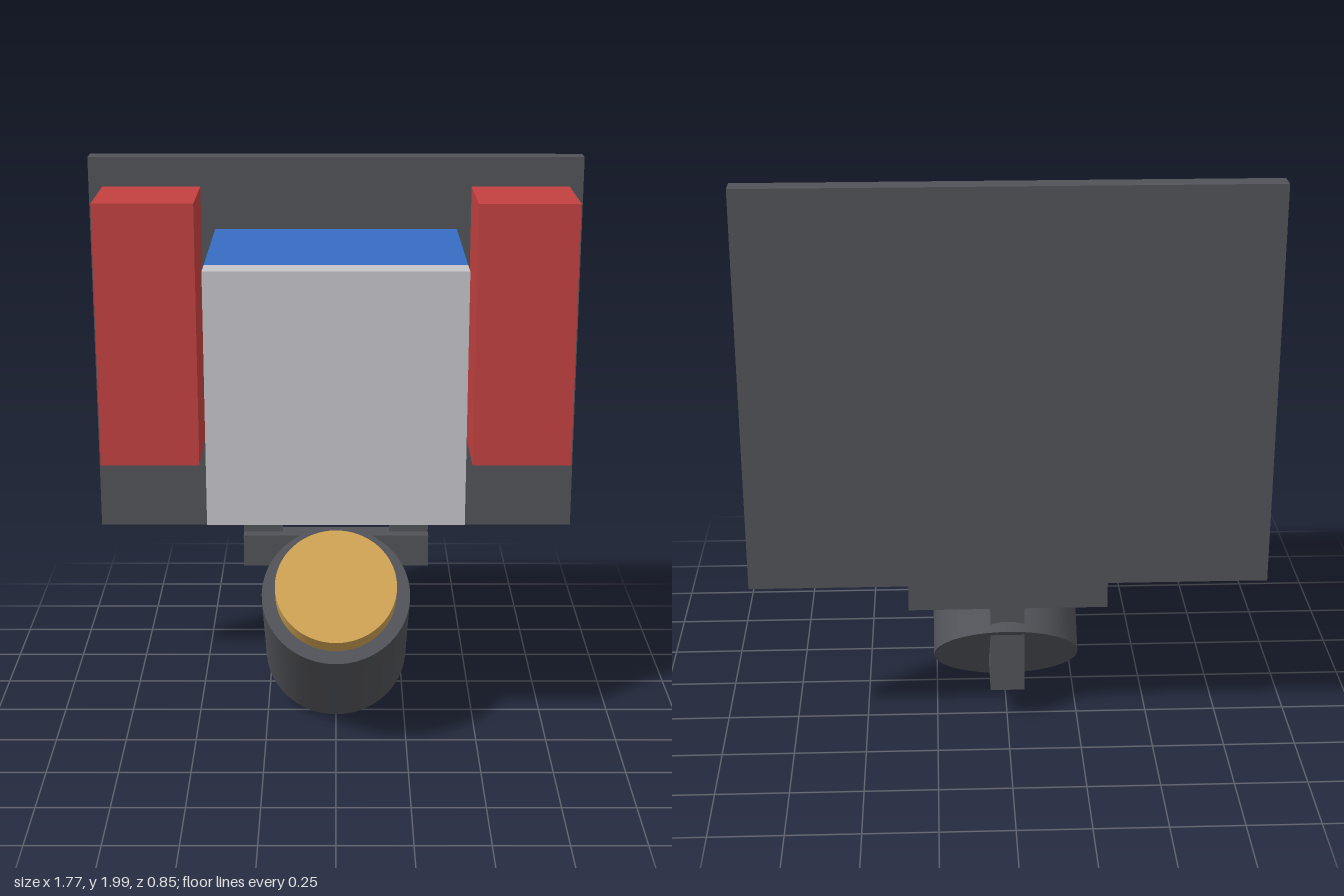
import * as THREE from 'three';

const mat = (name, color) => {
  const m = new THREE.MeshStandardMaterial({ color });
  m.name = name;
  return m;
};

export function createModel() {
  const model = new THREE.Group();
  model.name = 'sensorBoard';

  const dark = mat('darkGrey', 0x525358);
  const red = mat('red', 0xc34141);
  const blue = mat('blue', 0x366cc2);
  const light = mat('lightGrey', 0xc5c4c9);
  const gold = mat('gold', 0xcea253);

  const add = (parent, name, geometry, material) => {
    const mesh = new THREE.Mesh(geometry, material);
    mesh.name = name;
    parent.add(mesh);
    return mesh;
  };

  // Box given by its lower and upper limits on each axis
  const box = (parent, name, material, [x0, x1], [y0, y1], [z0, z1]) =>
    add(parent, name, new THREE.BoxGeometry(x1 - x0, y1 - y0, z1 - z0), material)
      .position.set((x0 + x1) / 2, (y0 + y1) / 2, (z0 + z1) / 2);

  // Back plate and the central block with its front cover
  box(model, 'backPlate', dark, [-0.885, 0.885], [0.61, 2], [-0.425, -0.35]);
  box(model, 'centreBlock', blue, [-0.435, 0.435], [0.87, 1.74], [-0.35, 0.27]);
  box(model, 'frontCover', light, [-0.435, 0.435], [0.87, 1.74], [0.27, 0.37]);

  // Side blocks
  box(model, 'leftBlock', red, [0.485, 0.835], [0.96, 1.895], [-0.35, 0]);
  box(model, 'rightBlock', red, [-0.835, -0.485], [0.96, 1.895], [-0.35, 0]);

  // U-shaped bracket: crossbar, post and two drilled tabs
  const bracket = new THREE.Group();
  bracket.name = 'bracket';
  model.add(bracket);
  box(bracket, 'crossbar', dark, [-0.345, 0.345], [0.48, 0.6], [-0.35, -0.255]);
  box(bracket, 'post', dark, [-0.06, 0.06], [0.13, 0.6], [-0.3, -0.1]);
  for (const side of [1, -1]) {
    const tab = new THREE.Shape();
    tab.moveTo(-0.0725, 0.6).lineTo(0.0725, 0.6).lineTo(0.0725, 0.84).lineTo(-0.0725, 0.84).closePath();
    const hole = new THREE.Path();
    hole.absarc(0, 0.73, 0.028, 0, Math.PI * 2, true);
    tab.holes.push(hole);
    const geometry = new THREE.ExtrudeGeometry(tab, { depth: 0.05, bevelEnabled: false, curveSegments: 16 });
    add(bracket, side > 0 ? 'leftTab' : 'rightTab', geometry, dark).position.set(side * 0.2725, 0, -0.35);
  }

  // Cylindrical head tilted 45 degrees up towards the front
  const head = new THREE.Group();
  head.name = 'head';
  head.position.set(0, 0.375, 0.04);
  head.rotation.x = Math.PI / 4;
  model.add(head);
  add(head, 'housing', new THREE.CylinderGeometry(0.26, 0.26, 0.516, 64), dark);
  add(head, 'lens', new THREE.CylinderGeometry(0.212, 0.212, 0.075, 64), gold).position.y = 0.2955;

  return model;
}
